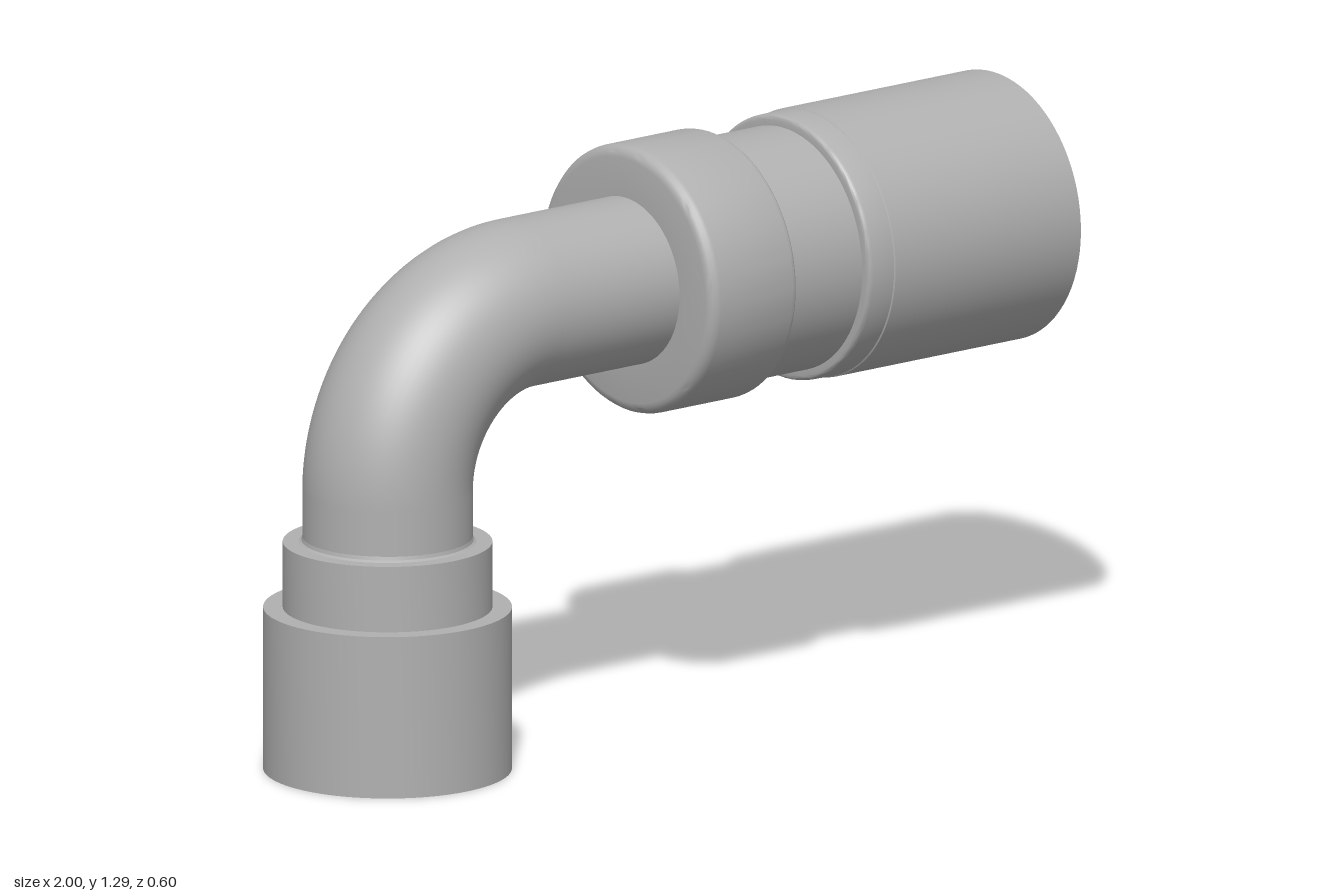
import * as THREE from 'three';
import { toCreasedNormals } from 'three/addons/utils/BufferGeometryUtils.js';

const AXIS_X = -0.727;   // axis of the upright end
const AXIS_Y = 0.993;    // axis of the level end
const BEND = 0.367;      // bend radius
const PIPE = 0.187, BORE = 0.147;

// Quarter-round corner from angle a0 to a1, as [radius, height] points
function round(cr, ch, rad, a0, a1, n = 4) {
  return Array.from({ length: n + 1 }, (_, i) => {
    const a = a0 + ((a1 - a0) * i) / n;
    return [cr + rad * Math.cos(a), ch + rad * Math.sin(a)];
  });
}

// Turned part with crisp edges
function turned(profile) {
  const points = profile.map(([r, h]) => new THREE.Vector2(r, h));
  return toCreasedNormals(new THREE.LatheGeometry(points, 80), 0.5);
}

export function createModel() {
  const model = new THREE.Group();
  model.name = 'elbowHoseFitting';
  const steel = new THREE.MeshStandardMaterial({ color: 0xb0b0b0, side: THREE.DoubleSide });
  steel.name = 'grey steel';

  function add(name, geometry) {
    const mesh = new THREE.Mesh(geometry, steel);
    mesh.name = name;
    model.add(mesh);
    return mesh;
  }

  // Bent pipe: outer wall and bore, each a quarter torus with straight ends
  function pipe(name, r, yBottom, xEnd) {
    const cx = AXIS_X + BEND, cy = AXIS_Y - BEND;
    const bend = new THREE.TorusGeometry(BEND, r, 64, 48, Math.PI / 2).rotateZ(Math.PI / 2);
    add(name + 'Bend', bend).position.set(cx, cy, 0);
    const upright = new THREE.CylinderGeometry(r, r, cy - yBottom, 64, 1, true);
    add(name + 'Upright', upright).position.set(AXIS_X, (cy + yBottom) / 2, 0);
    const level = new THREE.CylinderGeometry(r, r, xEnd - cx, 64, 1, true).rotateZ(Math.PI / 2);
    add(name + 'Level', level).position.set((cx + xEnd) / 2, AXIS_Y, 0);
  }
  pipe('pipe', PIPE, 0.51, -0.04);
  pipe('bore', BORE, 0.2, 0.8);

  // Stepped socket at the foot, open below
  add('socket', turned([
    [BORE, 0.2], [0.165, 0.14], [0.25, 0.14], [0.257, 0],
    [0.273, 0], [0.273, 0.365], [0.23, 0.365], [0.23, 0.513],
    [0.195, 0.513], [0.189, 0.517], [PIPE, 0.525],
  ])).position.x = AXIS_X;

  // Union nut and sleeve on the level end, with a ring groove around the coned nozzle
  const H = Math.PI / 2;
  add('nutAndSleeve', turned([
    [PIPE, -0.05],
    ...round(0.275, -0.025, 0.025, -H, 0),
    ...round(0.285, 0.18, 0.015, 0, H),
    [0.272, 0.195], [0.272, 0.4],
    ...round(0.286, 0.41, 0.01, -H, 0),
    [0.297, 0.47], [0.3, 0.472], [0.3, 1],
    [0.28, 1], [0.257, 0.88], [0.228, 0.88], [0.206, 1],
    [0.19, 1], [BORE, 0.8],
  ]).rotateZ(-H)).position.y = AXIS_Y;

  return model;
}
